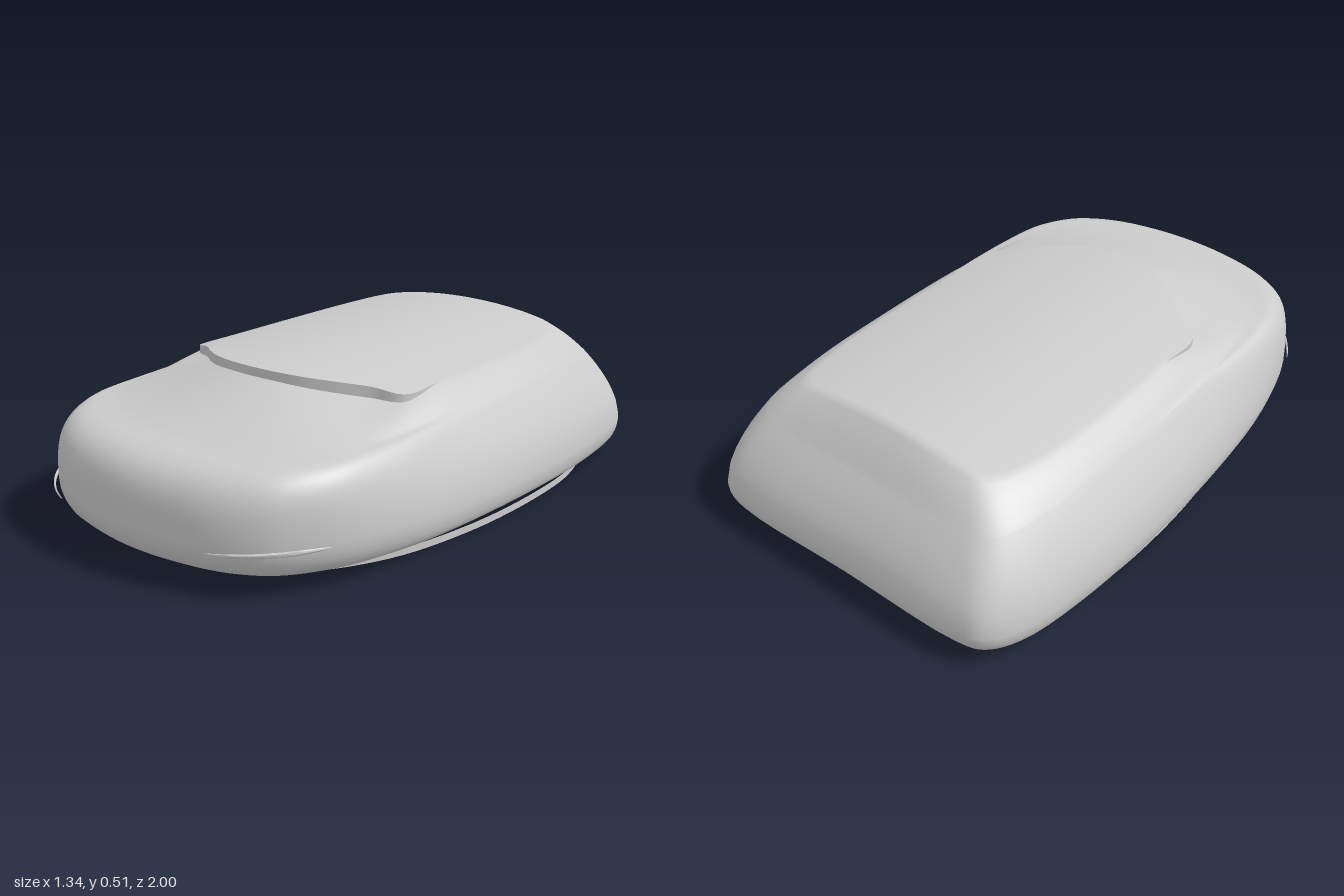
import * as THREE from 'three';
import { toCreasedNormals } from 'three/addons/utils/BufferGeometryUtils.js';

const N = 120; // samples around the body
const { lerp, clamp } = THREE.MathUtils;
const material = () => new THREE.MeshStandardMaterial({ color: 0xcccccc, side: THREE.DoubleSide });

// Mirrors a half outline [x, z, extra] from front to back into a smooth closed loop.
function loop(half) {
  const left = half.map(([x, z, w]) => new THREE.Vector3(x, z, w));
  const right = left.slice(1, -1).reverse().map(p => new THREE.Vector3(-p.x, p.y, p.z));
  const curve = new THREE.CatmullRomCurve3([...left, ...right], true);
  return Array.from({ length: N }, (_, j) => {
    const p = curve.getPoint(j / N);
    return { x: p.x, z: p.y, w: p.z };
  });
}

// Skins a list of closed cross-sections.
function skin(rows, crease) {
  const n = rows[0].length, index = [];
  for (let i = 0; i < rows.length - 1; i++) {
    for (let j = 0; j < n; j++) {
      const a = i * n + j, b = i * n + (j + 1) % n;
      index.push(a, b, b + n, a, b + n, a + n);
    }
  }
  const g = new THREE.BufferGeometry();
  g.setAttribute('position', new THREE.Float32BufferAttribute(rows.flat(2), 3));
  g.setIndex(index);
  return toCreasedNormals(g, crease);
}

function bodyGeometry() {
  // widest outline; extra = how blunt and full the wall is
  const wide = loop([[0, 0.995, 1], [0.17, 0.98, 1], [0.33, 0.94, 1], [0.46, 0.86, 1], [0.55, 0.73, 0.95],
    [0.615, 0.52, 0.65], [0.652, 0.2, 0.12], [0.668, -0.2, 0], [0.655, -0.6, 0], [0.605, -0.88, 0],
    [0.54, -0.975, 0], [0.45, -1, 0], [0, -1, 0]]);
  // shoulder crest; extra = height
  const crest = loop([[0, 0.8, 0.37], [0.15, 0.79, 0.37], [0.3, 0.75, 0.37], [0.42, 0.68, 0.37], [0.485, 0.58, 0.37],
    [0.515, 0.42, 0.37], [0.54, 0.15, 0.375], [0.55, -0.22, 0.37], [0.537, -0.58, 0.37], [0.495, -0.8, 0.37],
    [0.445, -0.855, 0.37], [0.36, -0.87, 0.37], [0, -0.87, 0.37]]);
  // roof edge; extra = height of the step down to the hood
  const roof = loop([[0, 0.45, 0.03], [0.09, 0.44, 0.03], [0.18, 0.41, 0.033], [0.27, 0.355, 0.036], [0.36, 0.285, 0.036],
    [0.445, 0.235, 0.025], [0.45, 0.05, 0], [0.45, -0.25, 0], [0.435, -0.55, 0], [0.395, -0.71, 0],
    [0.355, -0.75, 0], [0.29, -0.76, 0], [0, -0.76, 0]]);
  const roofY = x => 0.51 - 0.28 * x * x;
  const rows = [];
  const add = f => rows.push(wide.map((w, j) => f(w, crest[j], roof[j])));

  // flat underside and rounded lower edge
  add(() => [0, 0.052, -0.1]);
  for (let i = 0; i <= 6; i++) {
    const a = i / 6 * Math.PI / 2;
    add(w => {
      const s = 1 - (0.03 + 0.05 * w.w) * (1 - Math.sin(a));
      return [w.x * s, lerp(0.12 + 0.04 * w.w, 0.052, Math.cos(a)), w.z * s];
    });
  }
  // wall: blunt at the nose, leaning in along the sides and tail
  for (let i = 1; i <= 14; i++) {
    const v = Math.sin(i / 14 * Math.PI / 2) ** (2 / 3);
    const blunt = 1 - Math.cbrt(Math.max(0, 1 - v ** 3));
    add((w, c) => {
      const h = lerp(v ** 1.6, blunt, clamp(w.w, 0, 1));
      return [lerp(w.x, c.x, h), lerp(0.12 + 0.04 * w.w, c.w, v), lerp(w.z, c.z, h)];
    });
  }
  // hood and upper shoulder
  for (let i = 1; i <= 8; i++) {
    const u = i / 8;
    add((w, c, r) => {
      const y = lerp(c.w, roofY(r.x) - Math.max(0, r.w), u ** (1 + 0.2 * w.w));
      return [lerp(c.x, r.x, u), y + 0.008 * Math.sin(Math.PI * u) * (1 - w.w), lerp(c.z, r.z, u)];
    });
  }
  // step and arched roof
  for (const s of [1, 0.97, 0.92, 0.8, 0.65, 0.5, 0.35, 0.2, 0]) {
    add((w, c, r) => [r.x * s, roofY(r.x * s), lerp(-0.15, r.z, s)]);
  }
  return skin(rows, 1.05);
}

// Thin tapered blade wrapped round a front corner.
function slitGeometry(side) {
  const path = new THREE.QuadraticBezierCurve3(new THREE.Vector3(0.3 * side, 0.145, 0.972),
    new THREE.Vector3(0.475 * side, 0.148, 0.915), new THREE.Vector3(0.57 * side, 0.153, 0.715));
  const rows = [];
  for (let i = 0; i <= 24; i++) {
    const t = i / 24, p = path.getPoint(t), d = path.getTangent(t);
    const k = Math.sqrt(Math.max(0, Math.sin(Math.PI * t))) * lerp(0.6, 1, t);
    rows.push(Array.from({ length: 10 }, (_, j) => {
      const a = -side * j / 10 * Math.PI * 2, out = Math.cos(a) * 0.005 * k;
      return [p.x - d.z * out * side, p.y + Math.sin(a) * 0.01 * k, p.z + d.x * out * side];
    }));
  }
  return skin(rows, 1);
}

// Open egg-shaped band under the body.
function bandGeometry() {
  const outline = loop([[0, 0.85, 0], [0.2, 0.805, 0], [0.4, 0.655, 0], [0.54, 0.42, 0], [0.61, 0.12, 0],
    [0.63, -0.22, 0], [0.605, -0.53, 0], [0.53, -0.73, 0], [0.38, -0.86, 0], [0.2, -0.9, 0], [0, -0.91, 0]]);
  return skin([0, 0.024].map(y => outline.map(p => [p.x, y, p.z])), 0.6);
}

export function createModel() {
  const group = new THREE.Group();
  const add = (name, geometry) => {
    const mesh = new THREE.Mesh(geometry, material());
    mesh.name = name;
    group.add(mesh);
  };
  add('body', bodyGeometry());
  add('leftFrontSlit', slitGeometry(1));
  add('rightFrontSlit', slitGeometry(-1));
  add('baseBand', bandGeometry());
  return group;
}
